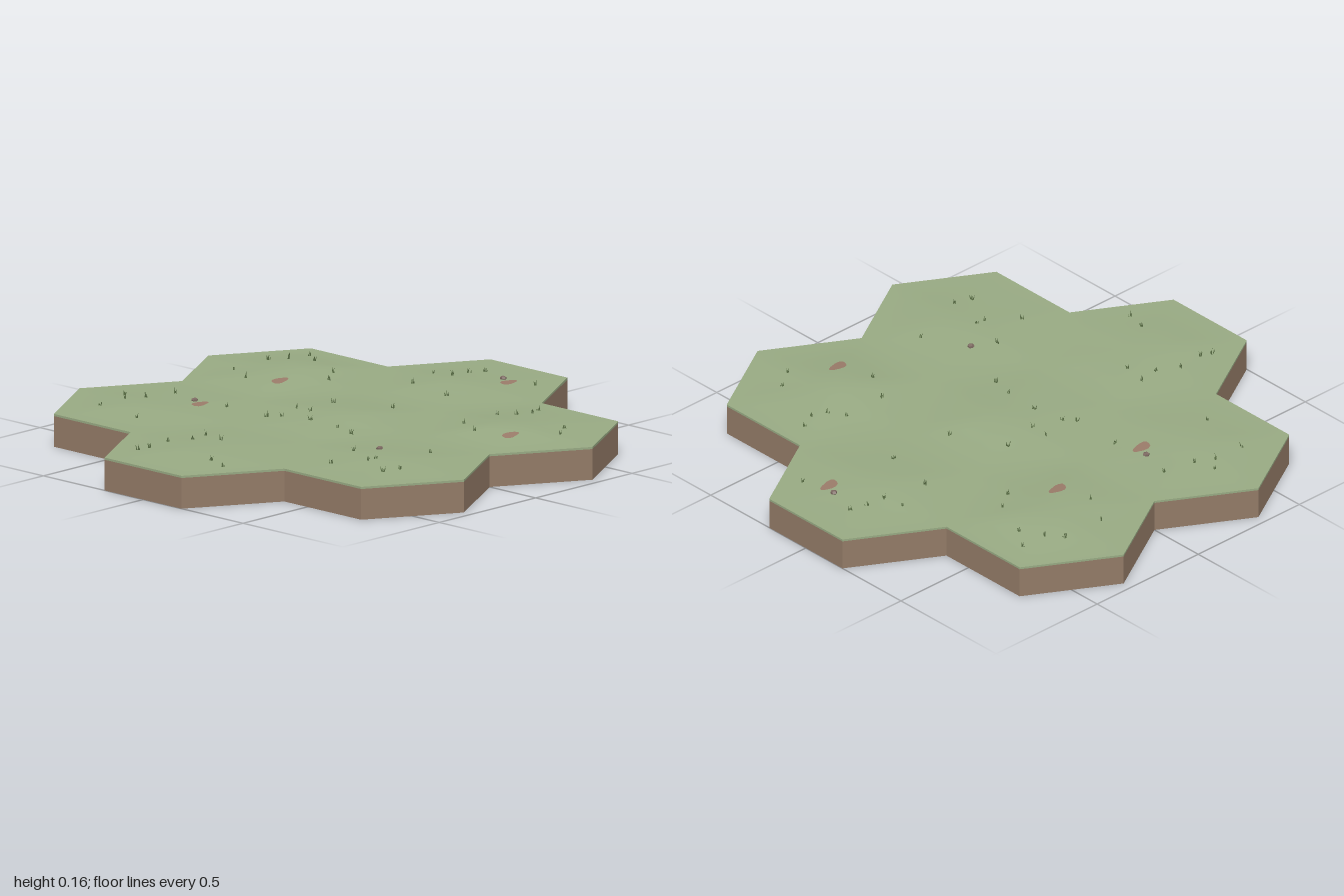
import * as THREE from 'three';
import { mergeGeometries, mergeVertices } from 'three/addons/utils/BufferGeometryUtils.js';

const APOTHEM = 1 / 3;
const RADIUS = APOTHEM / Math.cos(Math.PI / 6);
const SOIL_TOP = 0.114;
const RIM = 0.122;

const polar = (r, deg) => [r * Math.cos(deg * Math.PI / 180), r * Math.sin(deg * Math.PI / 180)];

// Tile centres with the height of the gentle mound on each
const PEAKS = [0.014, 0.012, 0.019, 0.011, 0.012, 0.011, 0.019];
const TILES = PEAKS.map((peak, k) => {
  const [x, z] = k === 0 ? [0, 0] : polar(2 * APOTHEM, (k - 1) * 60);
  return { x, z, peak };
});

// Ground height: each mound fades to the rim height at its tile border
function groundHeight(x, z) {
  let lift = 0;
  for (const t of TILES) {
    let d = 0;
    for (let a = 0; a < 360; a += 60) {
      const [nx, nz] = polar(1, a);
      d = Math.max(d, ((x - t.x) * nx + (z - t.z) * nz) / APOTHEM);
    }
    if (d >= 1) continue;
    const s = 1 - d;
    const ripple = 1 + 0.35 * Math.sin(9 * x + 5 * z) * Math.cos(7 * z - 4 * x);
    lift = t.peak * ripple * s * s * (3 - 2 * s);
  }
  return RIM + 0.0005 + lift;
}

// Flower-shaped outline of the seven joined hexagons
function outlineSlab(y0, y1) {
  const pts = [];
  for (let k = 0; k < 6; k++) {
    const [cx, cy] = polar(2 * APOTHEM, k * 60);
    for (const off of [-30, 30, 90]) {
      const [px, py] = polar(RADIUS, k * 60 + off);
      pts.push(new THREE.Vector2(cx + px, cy + py));
    }
  }
  const geo = new THREE.ExtrudeGeometry(new THREE.Shape(pts), { depth: y1 - y0, bevelEnabled: false });
  return geo.rotateX(-Math.PI / 2).translate(0, y0, 0);
}

// Grass surface: every hexagon is six finely divided triangles
function grassSurface() {
  const n = 8, pos = [];
  for (const t of TILES) {
    for (let s = 0; s < 6; s++) {
      const A = polar(RADIUS, 30 + s * 60), B = polar(RADIUS, 90 + s * 60);
      const put = (i, j) => {
        const x = t.x + (A[0] * i + B[0] * j) / n;
        const z = t.z + (A[1] * i + B[1] * j) / n;
        pos.push(x, groundHeight(x, z), z);
      };
      for (let i = 0; i < n; i++) {
        for (let j = 0; i + j < n; j++) {
          put(i, j); put(i, j + 1); put(i + 1, j);
          if (i + j < n - 1) { put(i + 1, j); put(i, j + 1); put(i + 1, j + 1); }
        }
      }
    }
  }
  const geo = new THREE.BufferGeometry();
  geo.setAttribute('position', new THREE.Float32BufferAttribute(pos, 3));
  const merged = mergeVertices(geo, 1e-4);
  merged.computeVertexNormals();
  return merged;
}

// Bare earth patch draped over the ground
function patchGeometry(cx, cz) {
  const geo = new THREE.CircleGeometry(1, 14).rotateX(-Math.PI / 2);
  const p = geo.attributes.position;
  for (let i = 0; i < p.count; i++) {
    const a = Math.atan2(p.getZ(i), p.getX(i));
    const r = 1 + 0.12 * Math.sin(3 * a + 1);
    const x = cx + p.getX(i) * 0.04 * r;
    const z = cz + p.getZ(i) * 0.023 * r - p.getX(i) * 0.004;
    p.setXYZ(i, x, groundHeight(x, z) + 0.0015, z);
  }
  geo.computeVertexNormals();
  return geo;
}

// Seeded numbers for blade variety
function seeded(seed) {
  return () => (seed = (seed * 16807) % 2147483647) / 2147483647;
}

// Tuft: a few leaning pointed blades
function tuftGeometry(x, z, rand) {
  const blades = [];
  for (let i = 0; i < 4; i++) {
    const h = 0.011 + 0.014 * rand();
    const blade = new THREE.ConeGeometry(0.0026, h, 4).translate(0, h / 2, 0);
    blade.rotateZ(0.1 + 0.25 * rand()).rotateY(i * 1.6 + rand());
    blade.translate(x + (rand() - 0.5) * 0.011, groundHeight(x, z) - 0.001, z + (rand() - 0.5) * 0.011);
    blades.push(blade);
  }
  return mergeGeometries(blades);
}

const PATCHES = [[-0.215, -0.475], [0.21, -0.485], [0.785, 0.105], [0.21, 0.67]];
const STONES = [[-0.19, -0.525], [0.81, 0.055], [-0.24, 0.45]];
const TUFTS_BACK = [
  [-0.48, -0.72], [-0.35, -0.72], [-0.305, -0.76], [-0.28, -0.68], [-0.16, -0.65], [-0.51, -0.5], [-0.165, -0.385],
  [0.17, -0.615], [0.235, -0.74], [0.415, -0.74], [0.465, -0.685], [0.57, -0.68], [0.51, -0.6], [0.44, -0.44], [0.36, -0.38]];
const TUFTS_MIDDLE = [
  [-0.845, -0.18], [-0.8, -0.16], [-0.69, -0.175], [-0.61, -0.13], [-0.53, -0.145], [-0.545, -0.045], [-0.785, 0.13], [-0.805, 0.215],
  [-0.175, -0.18], [-0.135, -0.14], [-0.02, -0.18], [-0.02, -0.11], [0.13, -0.14], [-0.11, -0.02], [-0.12, 0.125], [-0.14, 0.215],
  [0.23, 0.06], [0.53, -0.13], [0.49, 0.08], [0.69, -0.18], [0.71, -0.1], [0.785, -0.09], [0.845, -0.07], [0.835, 0.19]];
const TUFTS_FRONT = [
  [-0.505, 0.465], [-0.33, 0.4], [-0.395, 0.54], [-0.36, 0.55], [-0.15, 0.62], [-0.465, 0.685], [-0.4, 0.705],
  [0.17, 0.53], [0.235, 0.415], [0.415, 0.41], [0.455, 0.465], [0.57, 0.465], [0.51, 0.49], [0.44, 0.72], [0.365, 0.775]];

export function createModel() {
  const group = new THREE.Group();
  group.name = 'meadowTiles';
  const material = (name, color) => {
    const m = new THREE.MeshStandardMaterial({ color });
    m.name = name;
    return m;
  };
  const soil = material('soil', 0x937b67);
  const grass = material('grass', 0x98aa83);
  const earth = material('bareEarth', 0x9a7b69);
  const blade = material('grassBlade', 0x5f7549);
  const rock = material('stone', 0x7d6a62);
  const add = (name, geo, mat) => {
    const mesh = new THREE.Mesh(geo, mat);
    mesh.name = name;
    group.add(mesh);
    return mesh;
  };

  add('soilBase', outlineSlab(0, SOIL_TOP), soil);
  add('grassRim', outlineSlab(SOIL_TOP, RIM), grass);
  add('grassSurface', grassSurface(), grass);

  PATCHES.forEach(([x, z]) => add('earthPatch', patchGeometry(x, z), earth));

  // Small half-buried stones
  STONES.forEach(([x, z], i) => {
    const stone = add('stone', new THREE.DodecahedronGeometry(0.013), rock);
    stone.scale.y = 0.7;
    stone.rotation.y = i;
    stone.position.set(x, groundHeight(x, z) + 0.003, z);
  });

  const rand = seeded(17);
  const tufts = [...TUFTS_BACK, ...TUFTS_MIDDLE, ...TUFTS_FRONT].map(([x, z]) => tuftGeometry(x, z, rand));
  add('grassTufts', mergeGeometries(tufts), blade);
  return group;
}
